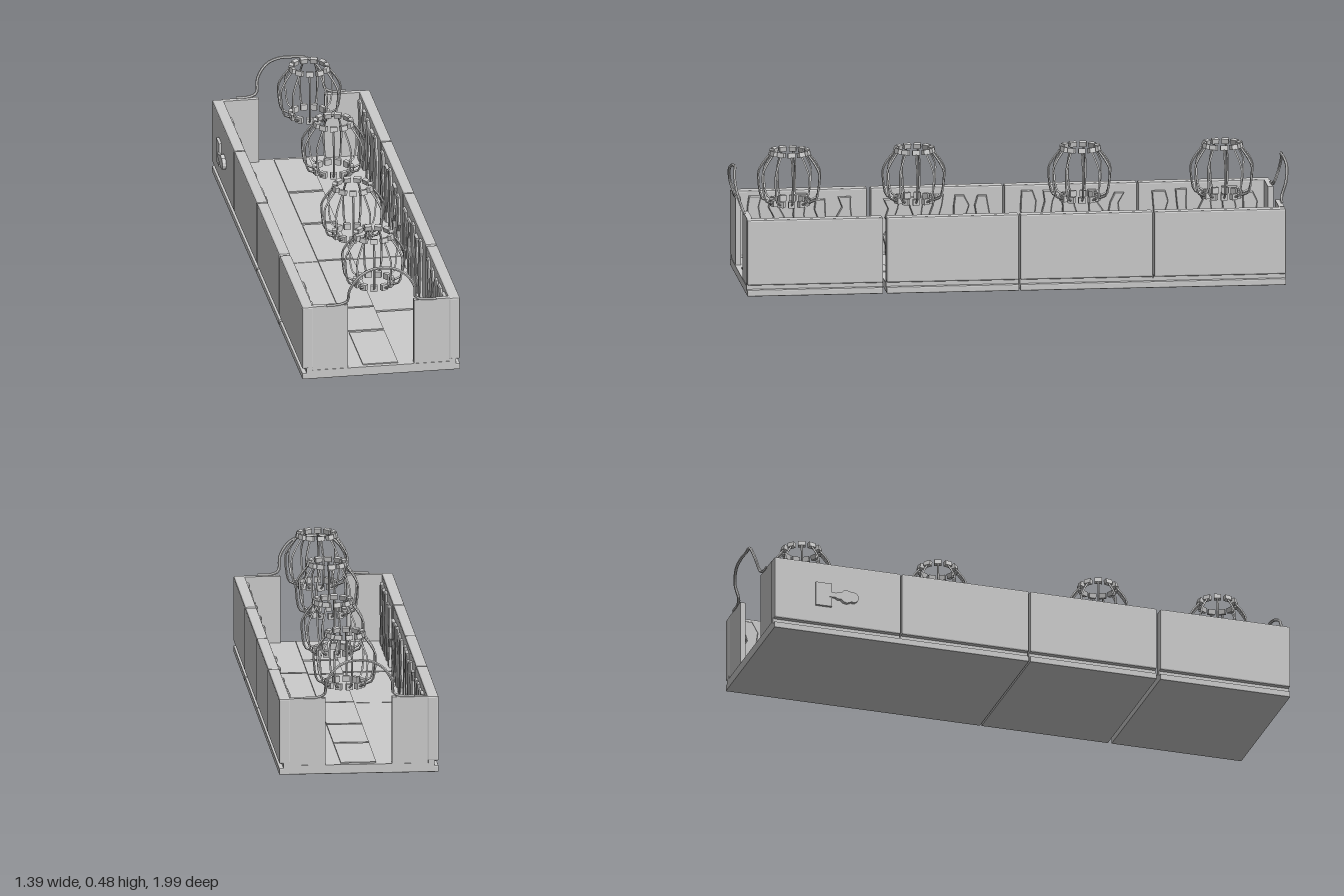
import * as THREE from 'three';
import { RoundedBoxGeometry } from 'three/addons/geometries/RoundedBoxGeometry.js';

const mat = new THREE.MeshStandardMaterial({ color: 0xcccccc, flatShading: true });

function add(parent, name, geometry, x = 0, y = 0, z = 0) {
  const m = new THREE.Mesh(geometry, mat);
  m.name = name;
  m.position.set(x, y, z);
  parent.add(m);
  return m;
}

// Box given by its min and max on each axis, with an optional bevel
function block(parent, name, [x0, x1], [y0, y1], [z0, z1], bevel = 0) {
  const s = [x1 - x0, y1 - y0, z1 - z0];
  const g = bevel ? new RoundedBoxGeometry(...s, 1, bevel) : new THREE.BoxGeometry(...s);
  return add(parent, name, g, (x0 + x1) / 2, (y0 + y1) / 2, (z0 + z1) / 2);
}

let seed = 7;
const rand = () => (seed = (seed * 16807) % 2147483647) / 2147483647;

const HALF = 0.288, END = 0.974, TOP = 0.28, OPEN = 0.12;

// Hollow cage of bowed ribs, with a ring of blocks at top and bottom
function cage() {
  const g = new THREE.Group();
  g.name = 'cageLantern';
  const profile = [[0.068, 0.286], [0.1, 0.3], [0.109, 0.335], [0.113, 0.395], [0.095, 0.43], [0.072, 0.46], [0.068, 0.472]];
  const path = new THREE.CatmullRomCurve3(profile.map(([r, y]) => new THREE.Vector3(r, y, 0)), false, 'catmullrom', 0.3);
  const rib = new THREE.TubeGeometry(path, 14, 0.004, 4);
  const topBlock = new THREE.BoxGeometry(0.016, 0.018, 0.026);
  const footBlock = new THREE.BoxGeometry(0.016, 0.022, 0.024);
  const N = 11;
  for (let i = 0; i < N; i++) {
    const spoke = new THREE.Group();
    spoke.name = 'cageSpoke';
    spoke.rotation.y = (i / N) * Math.PI * 2;
    add(spoke, 'rib', rib);
    add(spoke, 'topBlock', topBlock, 0.066, 0.469, 0).rotation.z = 0.2;
    add(spoke, 'footBlock', footBlock, 0.066, 0.288, 0);
    g.add(spoke);
  }
  return g;
}

// Jagged upright slab, drawn as a wavy strip and extruded off the wall
function shard(width, height) {
  const left = [], right = [], steps = 6;
  for (let i = 0; i <= steps; i++) {
    const y = (i / steps) * height;
    const drift = (rand() - 0.5) * 0.022;
    const w = width * (0.3 + 0.4 * rand());
    left.push(new THREE.Vector2(drift - w / 2, y));
    right.push(new THREE.Vector2(drift + w / 2, y));
  }
  const shape = new THREE.Shape([...left, ...right.reverse()]);
  return new THREE.ExtrudeGeometry(shape, { depth: 0.009, bevelEnabled: true, bevelThickness: 0.004, bevelSize: 0.003, bevelSegments: 1 });
}

export function createModel() {
  const root = new THREE.Group();
  root.name = 'corridor';
  const hall = new THREE.Group();
  hall.name = 'hall';
  hall.rotation.y = THREE.MathUtils.degToRad(27);
  root.add(hall);

  // Floor in three lengths, each a base plate with an inset upper step
  for (const [a, b] of [[-END, -0.013], [-0.009, 0.47], [0.482, END]]) {
    block(hall, 'basePlate', [-HALF, HALF], [0, 0.024], [a, b], 0.004);
    block(hall, 'floor', [-0.272, 0.272], [0.02, 0.034], [a, b]);
  }

  // Side walls in four panels each
  const joints = [-END, -0.495, -0.011, 0.476, END];
  for (const side of [-1, 1]) {
    for (let i = 0; i < 4; i++) {
      const gap = 0.002, wide = 0.006;
      const z0 = joints[i] + (i === 3 ? wide : i ? gap : 0);
      const z1 = joints[i + 1] - (i === 2 ? wide : i < 3 ? gap : 0);
      const xs = [side * HALF, side * 0.246].sort((p, q) => p - q);
      block(hall, 'wallPanel', xs, [0.04, TOP], [z0, z1], 0.006);
      block(hall, 'wallFoot', [side * 0.272, side * 0.25].sort((p, q) => p - q), [0.03, 0.045], [z0, z1]);

      // Jagged slabs lining the inner face
      const count = 5, pitch = (z1 - z0 - 0.07) / count;
      for (let k = 0; k < count; k++) {
        const s = add(hall, 'wallShard', shard(0.075, 0.2 + 0.03 * rand()), side * 0.248, 0.036, z0 + 0.035 + pitch * (k + 0.5));
        s.rotation.y = -side * Math.PI / 2;
      }
    }
  }

  // End walls either side of an opening, with a bowed hoop above it
  const hoopPoints = [[-0.2, 0.281, 0], [-0.15, 0.283, 0], [-0.125, 0.295, 0.004], [-0.118, 0.345, 0.02], [-0.085, 0.395, 0.026],
    [-0.04, 0.418, 0.02], [0, 0.421, 0.016], [0.04, 0.418, 0.02], [0.085, 0.395, 0.026], [0.118, 0.345, 0.02], [0.125, 0.295, 0.004],
    [0.15, 0.283, 0], [0.2, 0.281, 0]].map(p => new THREE.Vector3(...p));
  const hoop = new THREE.TubeGeometry(new THREE.CatmullRomCurve3(hoopPoints), 48, 0.0055, 6);
  for (const end of [-1, 1]) {
    const g = new THREE.Group();
    g.name = 'endWall';
    if (end < 0) g.rotation.y = Math.PI;
    for (const side of [-1, 1]) {
      const xs = [side * OPEN, side * 0.25].sort((p, q) => p - q);
      block(g, 'endPanel', xs, [0.024, TOP], [END - 0.022, END - 0.002]);
    }
    add(g, 'hoop', hoop, 0, 0, END - 0.002);
    hall.add(g);
  }

  // Runner of thin tiles along the floor
  const tiles = [[-0.955, -0.655], [-0.64, -0.36], [-0.345, -0.015], [-0.005, 0.43], [0.44, 0.645], [0.662, 0.957]];
  for (const t of tiles) block(hall, 'runnerTile', [-0.064, 0.064], [0.03, 0.038], t);

  // Cages in a row above the runner
  for (const [x, z] of [[0.033, -0.77], [0.033, -0.256], [0.003, 0.34], [0.003, 0.79]]) {
    const c = cage();
    c.position.set(x, 0, z);
    hall.add(c);
  }

  // Handle on the outer face: a plate with a spool beside it
  const handle = new THREE.Group();
  handle.name = 'wallHandle';
  handle.position.set(-HALF, 0.153, -0.79);
  block(handle, 'handlePlate', [-0.01, 0.002], [-0.045, 0.045], [-0.03, 0.03]);
  block(handle, 'handleBar', [-0.014, -0.004], [-0.009, 0.009], [0.02, 0.1]);
  for (const [z, r] of [[0.055, 0.014], [0.085, 0.025], [0.11, 0.02]]) {
    const d = add(handle, 'spoolDisc', new THREE.CylinderGeometry(r, r, 0.016, 12), -0.006, 0, z);
    d.rotation.z = Math.PI / 2;
  }
  hall.add(handle);
  return root;
}
